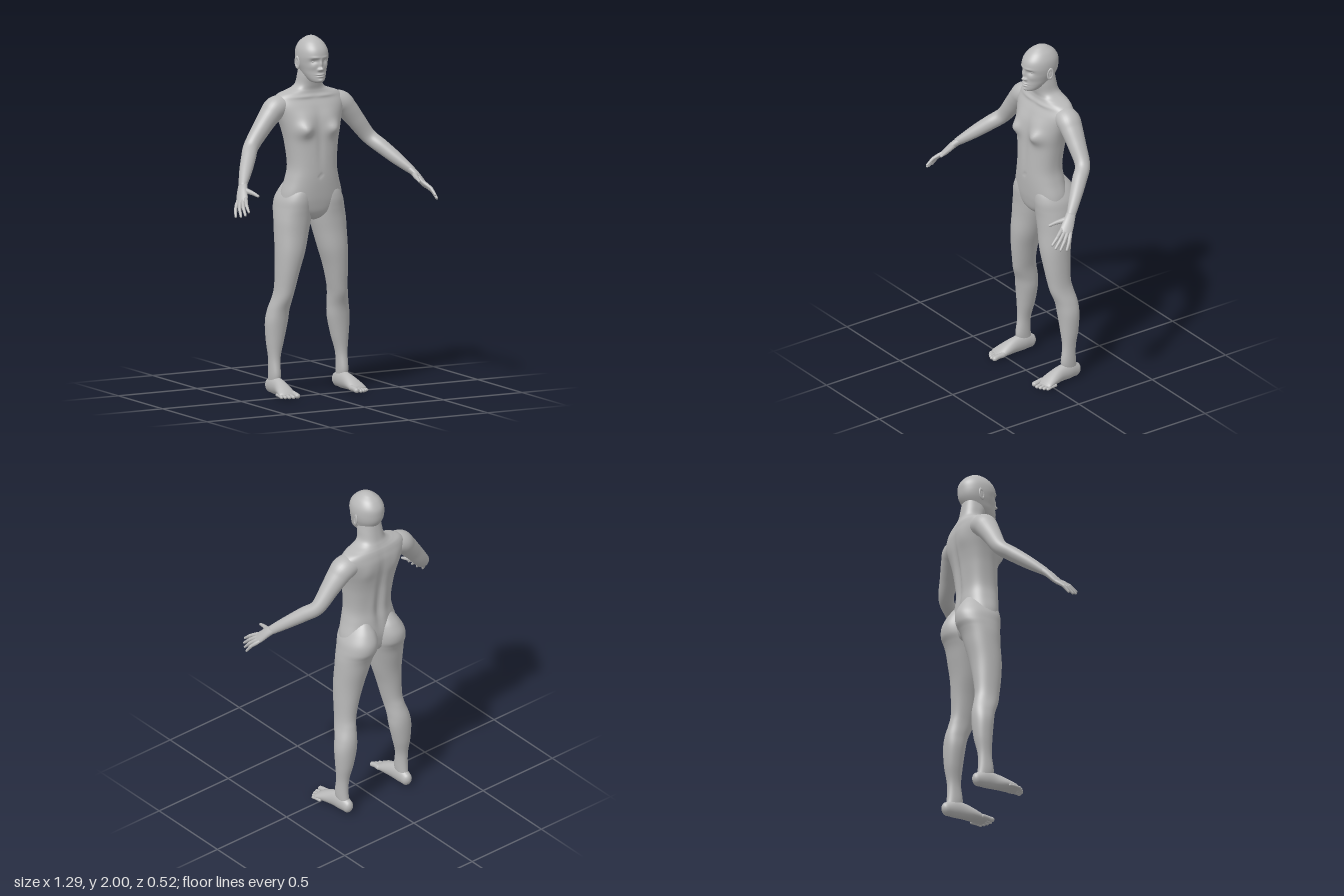
import * as THREE from 'three';

const skin = new THREE.MeshStandardMaterial({ color: 0xb8b8b8 });
skin.name = 'plain grey';

// Smoothly resample rows of numbers (Catmull-Rom on every column)
function resample(rows, steps) {
  const out = [], n = rows.length;
  const at = i => rows[Math.min(n - 1, Math.max(0, i))];
  for (let i = 0; i < n - 1; i++) {
    for (let s = 0; s < steps; s++) {
      const t = s / steps;
      out.push(rows[i].map((b, k) => {
        const a = at(i - 1)[k], c = at(i + 1)[k], d = at(i + 2)[k];
        return 0.5 * (2 * b + (c - a) * t + (2 * a - 5 * b + 4 * c - d) * t * t + (3 * b - a - 3 * c + d) * t * t * t);
      }));
    }
  }
  out.push(rows[n - 1]);
  return out;
}

// Closed skin over rings of points, with a centre point at both ends
function skinRings(rings) {
  const n = rings[0].length, pos = [], idx = [];
  rings.forEach(r => r.forEach(p => pos.push(p.x, p.y, p.z)));
  const centre = ring => {
    const c = ring.reduce((s, p) => s.add(p), new THREE.Vector3()).divideScalar(n);
    pos.push(c.x, c.y, c.z);
    return pos.length / 3 - 1;
  };
  const first = centre(rings[0]), last = centre(rings[rings.length - 1]);
  for (let j = 0; j < n; j++) {
    const k = (j + 1) % n, top = (rings.length - 1) * n;
    for (let i = 0; i < rings.length - 1; i++) {
      const a = i * n + j, b = i * n + k;
      idx.push(a, b, b + n, a, b + n, a + n);
    }
    idx.push(first, k, j, last, top + j, top + k);
  }
  const g = new THREE.BufferGeometry();
  g.setAttribute('position', new THREE.Float32BufferAttribute(pos, 3));
  g.setIndex(idx);
  g.computeVertexNormals();
  return g;
}

// Upright body from rows of [y, xMin, xMax, zBack, zFront]
function upright(rows, { steps = 6, sides = 48, power = 2.2, shape } = {}) {
  const sp = v => Math.sign(v) * Math.abs(v) ** (2 / power);
  return skinRings(resample(rows, steps).map(([y, x0, x1, z0, z1]) => {
    const ring = [];
    for (let j = 0; j < sides; j++) {
      const a = j / sides * Math.PI * 2;
      const p = new THREE.Vector3((x0 + x1) / 2 + sp(Math.cos(a)) * (x1 - x0) / 2, y,
        (z0 + z1) / 2 - sp(Math.sin(a)) * (z1 - z0) / 2);
      if (shape) shape(p);
      ring.push(p);
    }
    return ring;
  }));
}

// Round-ended limb from rows of [x, y, z, radius along side, radius across]
function limb(rows, side = [0, 0, 1], steps = 5, sides = 20) {
  const pts = resample(rows, steps), P = pts.map(r => new THREE.Vector3(r[0], r[1], r[2]));
  const rings = [], last = pts.length - 1;
  const add = (i, scale, shift) => {
    const T = P[Math.min(i + 1, last)].clone().sub(P[Math.max(i - 1, 0)]).normalize();
    const U = new THREE.Vector3(...side);
    U.addScaledVector(T, -U.dot(T)).normalize();
    const V = T.clone().cross(U), [, , , ra, rb] = pts[i];
    rings.push(Array.from({ length: sides }, (_, j) => {
      const a = j / sides * Math.PI * 2;
      return P[i].clone().addScaledVector(T, shift * Math.min(ra, rb))
        .addScaledVector(U, Math.cos(a) * ra * scale).addScaledVector(V, Math.sin(a) * rb * scale);
    }));
  };
  const bend = [0.3, 0.6, 0.9, 1.2, 1.45];
  [...bend].reverse().forEach(t => add(0, Math.cos(t), -Math.sin(t)));
  pts.forEach((_, i) => add(i, 1, 0));
  bend.forEach(t => add(last, Math.cos(t), Math.sin(t)));
  return skinRings(rings);
}

// Soft bumps [x, y, width, height, amount] on the front (1) or back (-1)
const bumps = (list, dir, mid) => p => {
  if ((p.z - mid) * dir <= 0) return;
  const { x, y } = p;
  for (const [bx, by, sx, sy, amt] of list) {
    p.z += dir * amt * Math.exp(-(((Math.abs(x) - bx) / sx) ** 2) - ((y - by) / sy) ** 2);
  }
};

export function createModel() {
  const model = new THREE.Group();
  model.name = 'figure';
  const add = (name, geo) => {
    const m = new THREE.Mesh(geo, skin);
    m.name = name;
    model.add(m);
  };
  // Left part plus its mirror image with reversed corners
  const pair = (name, geo) => {
    add('left' + name, geo);
    const g = geo.clone().scale(-1, 1, 1), a = g.index.array;
    for (let i = 0; i < a.length; i += 3) [a[i], a[i + 1]] = [a[i + 1], a[i]];
    g.computeVertexNormals();
    add('right' + name, g);
  };
  const sym = rows => rows.map(([y, w, zb, zf]) => [y, -w, w, zb, zf]);

  // Torso and neck
  const chest = bumps([[0.09, 1.485, 0.042, 0.04, 0.036], [0.07, 1.55, 0.06, 0.05, 0.012],
    [0, 1.225, 0.008, 0.009, -0.007], [0, 1.4, 0.02, 0.12, -0.005], [0.06, 1.663, 0.07, 0.01, 0.006]], 1, -0.11);
  const back = bumps([[0, 1.38, 0.022, 0.2, -0.015], [0.1, 1.56, 0.045, 0.06, 0.008],
    [0.045, 1.3, 0.025, 0.1, 0.005]], -1, -0.11);
  add('torso', upright(sym([
    [0.972, 0.02, -0.14, -0.06], [0.99, 0.07, -0.18, -0.035], [1.02, 0.13, -0.2, -0.015],
    [1.07, 0.178, -0.21, -0.003], [1.12, 0.18, -0.213, 0.004], [1.2, 0.157, -0.205, 0.01],
    [1.28, 0.143, -0.198, 0.01], [1.4, 0.155, -0.21, 0.005], [1.48, 0.172, -0.222, 0],
    [1.55, 0.193, -0.232, -0.015], [1.61, 0.212, -0.234, -0.035], [1.65, 0.208, -0.227, -0.055],
    [1.675, 0.182, -0.22, -0.064], [1.69, 0.14, -0.213, -0.067], [1.705, 0.1, -0.206, -0.067],
    [1.73, 0.075, -0.196, -0.061], [1.78, 0.067, -0.186, -0.05], [1.83, 0.06, -0.178, -0.05],
  ]), { sides: 96, power: 2.3, shape: p => { chest(p); back(p); } }));

  // Head with brow, sockets, nose, lips and chin
  add('head', upright(sym([
    [1.742, 0.012, -0.06, -0.012], [1.75, 0.034, -0.085, 0.006], [1.765, 0.047, -0.11, 0.011],
    [1.79, 0.06, -0.15, 0.01], [1.815, 0.069, -0.178, 0.008], [1.85, 0.08, -0.198, 0.008],
    [1.89, 0.085, -0.204, 0.013], [1.93, 0.08, -0.2, 0.004], [1.965, 0.061, -0.176, -0.024],
    [1.988, 0.034, -0.143, -0.057], [1.997, 0.017, -0.121, -0.08], [2, 0.001, -0.101, -0.099],
  ]), {
    steps: 12, sides: 128, power: 2.1, shape: bumps([
      [0.034, 1.868, 0.02, 0.013, -0.012], [0.03, 1.888, 0.025, 0.007, 0.004],
      [0, 1.85, 0.009, 0.022, 0.014], [0, 1.824, 0.011, 0.01, 0.02], [0.013, 1.82, 0.007, 0.007, 0.008],
      [0, 1.793, 0.02, 0.005, 0.008], [0, 1.787, 0.02, 0.0025, -0.005], [0, 1.781, 0.017, 0.005, 0.009],
      [0, 1.76, 0.016, 0.01, 0.008], [0.045, 1.835, 0.018, 0.016, 0.004]], 1, -0.06),
  }));
  pair('Eye', new THREE.SphereGeometry(0.013, 20, 14).scale(1.2, 0.65, 1).translate(0.034, 1.866, -0.021));

  // Ears: rim and inner bowl
  const placeEar = g => g.rotateY(Math.PI / 2 - 0.3).rotateX(-0.15).translate(0.087, 1.853, -0.103);
  pair('EarRim', placeEar(new THREE.TorusGeometry(0.014, 0.0055, 10, 28).scale(1, 1.9, 1)));
  pair('EarBowl', placeEar(new THREE.SphereGeometry(0.014, 16, 12).scale(1, 1.9, 0.3)));

  // Arms
  pair('Arm', limb([
    [0.12, 1.622, -0.145, 0.06, 0.05], [0.2, 1.603, -0.14, 0.07, 0.066], [0.245, 1.562, -0.136, 0.064, 0.059],
    [0.3, 1.495, -0.13, 0.053, 0.051], [0.372, 1.402, -0.117, 0.042, 0.043], [0.422, 1.348, -0.06, 0.041, 0.041],
    [0.48, 1.285, 0.01, 0.035, 0.035], [0.535, 1.225, 0.077, 0.027, 0.022],
  ], [0, 0.3, 1], 7, 32));

  // Hands: palm, four spread fingers and thumb
  const across = [0.053, -0.035, -0.07];
  pair('Palm', limb([[0.525, 1.236, 0.065, 0.025, 0.021], [0.55, 1.203, 0.1, 0.031, 0.02],
    [0.572, 1.163, 0.135, 0.036, 0.017], [0.582, 1.145, 0.155, 0.034, 0.013]], across));
  const lengths = [0, 0.012, 0.008, -0.006];
  lengths.forEach((extra, i) => {
    const t = i / 3, mix = (a, b) => a + (b - a) * t;
    const base = [mix(0.566, 0.6), mix(1.158, 1.134), mix(0.17, 0.133)];
    const tip = [mix(0.592, 0.637), mix(1.105, 1.07) - extra * 0.6, mix(0.247, 0.185) + extra * 0.8];
    const row = (s, lift, r) => [...base.map((b, k) => b + (tip[k] - b) * s + (k < 2 ? lift : 0)), r, r];
    pair('Finger' + (i + 1), limb([row(-0.2, 0, 0.01), row(0.1, 0.003, 0.0115), row(0.45, 0.006, 0.0095),
      row(0.55, 0.006, 0.0098), row(1, 0, 0.007)], across, 4, 12));
  });
  pair('Thumb', limb([[0.545, 1.208, 0.1, 0.018, 0.016], [0.53, 1.198, 0.137, 0.015, 0.014],
    [0.52, 1.192, 0.17, 0.011, 0.011], [0.512, 1.182, 0.208, 0.008, 0.008]], [1, 0, 0], 4, 14));

  // Legs, rounded at the top into the buttocks
  pair('Leg', upright([
    [0.03, 0.188, 0.236, -0.198, -0.11], [0.1, 0.184, 0.244, -0.182, -0.088], [0.2, 0.18, 0.245, -0.18, -0.1],
    [0.3, 0.155, 0.255, -0.198, -0.095], [0.4, 0.133, 0.26, -0.206, -0.085], [0.47, 0.128, 0.248, -0.203, -0.073],
    [0.54, 0.122, 0.228, -0.187, -0.047], [0.6, 0.11, 0.22, -0.176, -0.035], [0.7, 0.085, 0.218, -0.18, -0.02],
    [0.8, 0.053, 0.217, -0.19, -0.011], [0.9, 0.027, 0.215, -0.21, -0.013], [0.96, 0.012, 0.213, -0.223, -0.012],
    [1.0, 0.004, 0.209, -0.238, -0.01], [1.04, 0, 0.203, -0.258, -0.006], [1.09, 0, 0.192, -0.26, -0.002],
    [1.14, 0.008, 0.167, -0.24, -0.008], [1.18, 0.025, 0.14, -0.213, -0.03], [1.22, 0.04, 0.11, -0.18, -0.06],
  ], { steps: 7, sides: 48, power: 2.1 }));

  // Feet and toes
  pair('Foot', limb([
    [0.212, 0.042, -0.183, 0.03, 0.04], [0.213, 0.05, -0.14, 0.035, 0.05], [0.214, 0.046, -0.08, 0.037, 0.046],
    [0.219, 0.034, -0.02, 0.046, 0.034], [0.224, 0.021, 0.025, 0.051, 0.021], [0.226, 0.016, 0.038, 0.049, 0.015],
  ], [1, 0, 0], 6, 28));
  const toes = [[0.188, 0.078, 0.016], [0.214, 0.08, 0.0105], [0.235, 0.072, 0.01], [0.254, 0.06, 0.0095], [0.27, 0.046, 0.009]];
  toes.forEach(([x, z, r], i) => {
    pair('Toe' + (i + 1), limb([[x - 0.002, r + 0.007, z - 0.055, r, r], [x, r + 0.005, z - 0.025, r * 0.9, r * 0.9],
      [x, r, z, r, r * 0.9]], [1, 0, 0], 4, 14));
  });
  return model;
}
